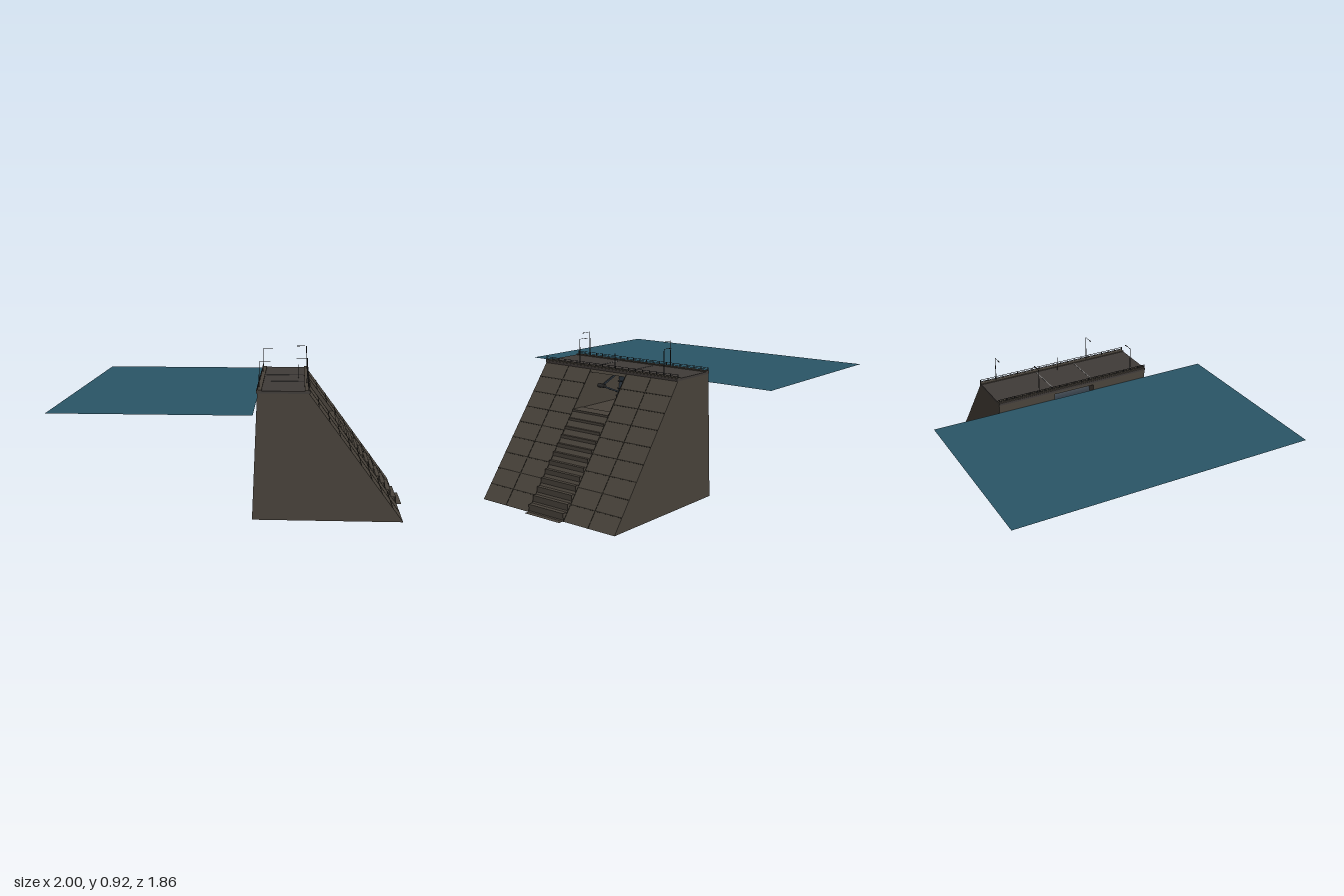
import * as THREE from 'three';

const mat = (color, extra = {}) =>
  new THREE.MeshStandardMaterial({ color, side: THREE.DoubleSide, ...extra });

export function createModel() {
  const group = new THREE.Group();
  const concrete = mat(0x48423a, { flatShading: true });
  const deckMat = mat(0x403b38);
  const seamMat = mat(0x25221d);
  const metal = mat(0x2b2b2b);
  const gateMat = mat(0x303a44);
  const jointMat = mat(0x7a7a78);
  const waterMat = mat(0x2a5566);

  const add = (name, geo, material, x = 0, y = 0, z = 0, parent = group) => {
    const m = new THREE.Mesh(geo, material);
    m.name = name;
    m.position.set(x, y, z);
    parent.add(m);
    return m;
  };
  const box = (name, w, h, d, material, x, y, z, parent) =>
    add(name, new THREE.BoxGeometry(w, h, d), material, x, y, z, parent);
  const prism = (name, points, z0, z1, material) => {
    const shape = new THREE.Shape(points.map(p => new THREE.Vector2(...p)));
    const geo = new THREE.ExtrudeGeometry(shape, { depth: z1 - z0, bevelEnabled: false });
    return add(name, geo, material, 0, 0, z0);
  };

  // Sloping faces of the dam: x at a given height
  const H = 0.75, HALF = 0.51, GAP = 0.135, SILL = 0.53, LINTEL = 0.733;
  const backX = y => 0.09 + 0.027 * y / H;
  const faceX = y => 0.97 - 0.555 * y / H;
  const section = (y0, y1) => [[backX(y0), y0], [faceX(y0), y0], [faceX(y1), y1], [backX(y1), y1]];

  // Body: two full-height blocks, low sill and lintel around the spillway opening
  prism('leftBlock', section(0, H), GAP, HALF, concrete);
  prism('rightBlock', section(0, H), -HALF, -GAP, concrete);
  prism('spillwaySill', section(0, SILL), -GAP, GAP, concrete);
  prism('spillwayLintel', section(LINTEL, H), -GAP, GAP, concrete);

  // Road deck with kerbs and expansion joints
  box('deck', 0.31, 0.014, 2 * HALF, deckMat, 0.266, 0.757, 0);
  for (const x of [0.128, 0.404]) box('kerb', 0.028, 0.008, 2 * HALF, concrete, x, 0.766, 0);
  for (const z of [-GAP, GAP]) box('deckJoint', 0.235, 0.002, 0.006, jointMat, 0.268, 0.7645, z);

  // Dark panel seams on the downstream face
  const slope = Math.atan2(H, -0.555);
  for (const side of [-1, 1]) {
    for (let i = 1; i <= 8; i++) {
      const y = i * 0.084;
      const s = box('panelSeam', 0.006, 0.003, HALF - GAP, seamMat, faceX(y), y, side * (HALF + GAP) / 2);
      s.rotation.z = slope;
    }
    for (const z of [0.138, 0.32]) {
      const s = box('panelSeam', Math.hypot(H, 0.555), 0.003, 0.005, seamMat, faceX(H / 2), H / 2, side * z);
      s.rotation.z = slope;
    }
  }

  // Stepped chute: a strip folded into risers and treads
  const STEPS = 12, x0 = 0.585, x1 = 1.0;
  const strip = new THREE.PlaneGeometry(2 * GAP, 1, 1, 2 * STEPS + 1);
  const pos = strip.attributes.position;
  for (let i = 0; i < pos.count; i++) {
    const row = Math.floor(i / 2);
    const nose = Math.floor((row + 1) / 2), drop = Math.floor(row / 2);
    const x = row === 0 ? 0.5 : x0 + (x1 - x0) * (nose - 1) / STEPS;
    pos.setXYZ(i, x, (SILL + 0.002) * (1 - drop / STEPS), -pos.getX(i));
  }
  const steps = strip.toNonIndexed();
  steps.computeVertexNormals();
  add('chuteSteps', steps, concrete);

  // Radial gate: curved skin, ribs, arms and pivots
  const gate = new THREE.Group();
  gate.name = 'radialGate';
  gate.position.set(0.35, 0.64, 0);
  group.add(gate);
  const R = 0.19, SPAN = 0.51;
  const skin = new THREE.CylinderGeometry(R, R, 2 * GAP - 0.004, 16, 1, true, -Math.PI / 2 - SPAN, 2 * SPAN);
  skin.rotateX(Math.PI / 2);
  add('gateSkin', skin, gateMat, 0, 0, 0, gate);
  for (let i = 0; i < 5; i++) {
    const a = Math.PI - SPAN + 2 * SPAN * i / 4;
    const rib = box('gateBeam', 0.014, 0.006, 2 * GAP - 0.01, gateMat,
      (R - 0.008) * Math.cos(a), (R - 0.008) * Math.sin(a), 0, gate);
    rib.rotation.z = a;
  }
  for (const z of [-0.11, 0.11]) {
    for (const a of [-0.38, 0.38]) {
      const arm = box('gateArm', R, 0.009, 0.009, gateMat,
        -R / 2 * Math.cos(a), -R / 2 * Math.sin(a), z, gate);
      arm.rotation.z = a;
    }
    const pivot = new THREE.CylinderGeometry(0.012, 0.012, 0.05, 12);
    pivot.rotateX(Math.PI / 2);
    add('gatePivot', pivot, metal, 0, 0, z, gate);
  }

  // Railings along both deck edges
  for (const x of [0.118, 0.412]) {
    for (const y of [0.776, 0.786]) box('handrail', 0.003, 0.002, 2 * HALF, metal, x, y, 0);
    for (let i = 0; i <= 20; i++)
      box('railPost', 0.004, 0.024, 0.004, metal, x, 0.775, -HALF + 0.002 + i * (2 * HALF - 0.004) / 20);
  }

  // Street lamps, staggered on both sides with arms over the road
  const lamps = [[0.405, -0.405], [0.405, 0.235], [0.125, -0.238], [0.125, 0.405]];
  for (const [x, z] of lamps) {
    const lamp = new THREE.Group();
    lamp.name = 'lamp';
    lamp.position.set(x, 0.765, z);
    group.add(lamp);
    const dir = x > 0.26 ? -1 : 1;
    add('lampPole', new THREE.CylinderGeometry(0.0018, 0.003, 0.155, 8), metal, 0, 0.0775, 0, lamp);
    box('lampArm', 0.06, 0.002, 0.002, metal, dir * 0.03, 0.154, 0, lamp);
    box('lampHead', 0.02, 0.003, 0.006, metal, dir * 0.054, 0.153, 0, lamp);
  }
  add('deckMast', new THREE.CylinderGeometry(0.002, 0.003, 0.085, 8), metal, 0.355, 0.807, 0);

  // Reservoir surface
  const water = add('water', new THREE.PlaneGeometry(1.112, 1.855), waterMat, -0.444, 0.7, -0.003);
  water.rotation.x = -Math.PI / 2;

  return group;
}
